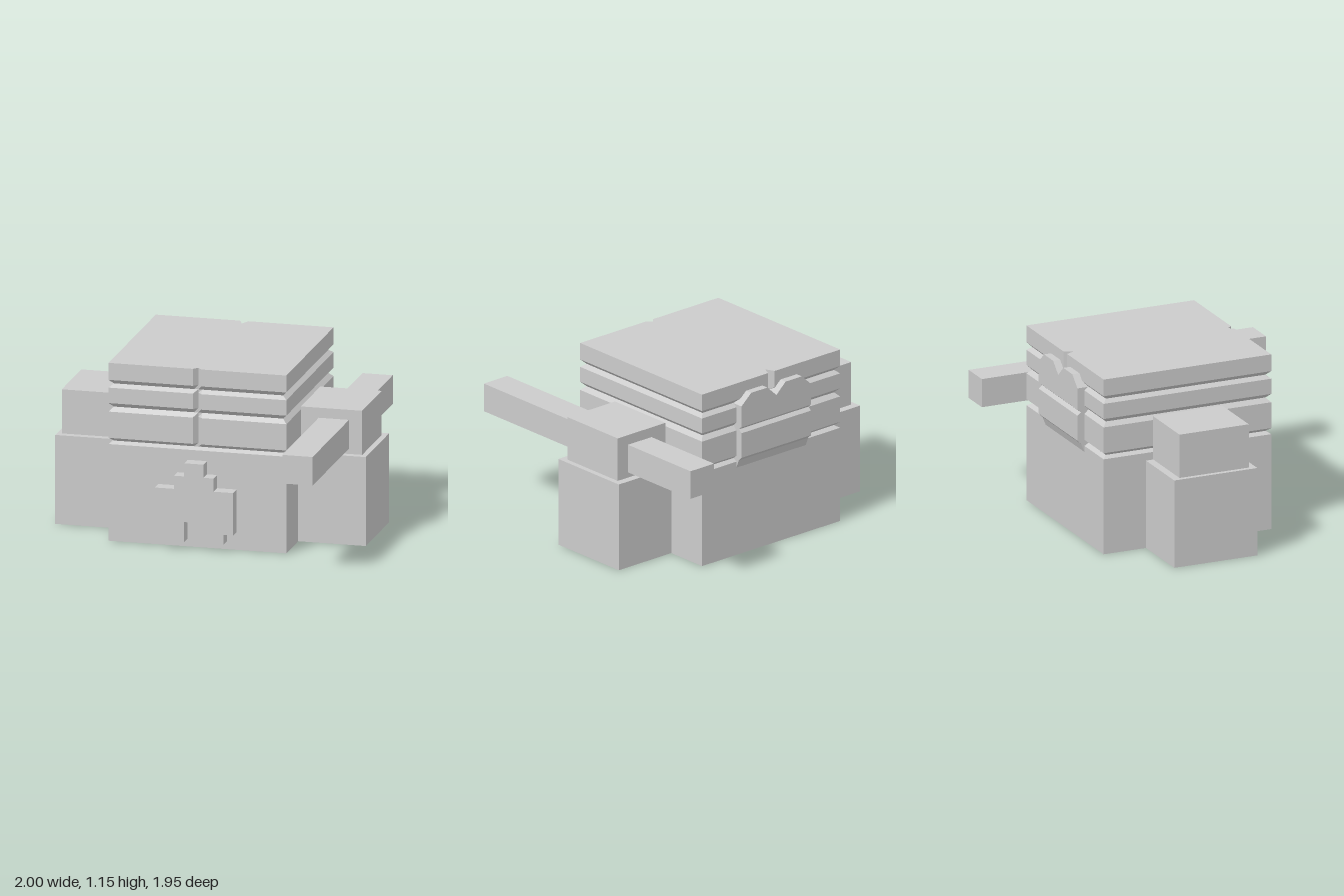
import * as THREE from 'three';
import { mergeGeometries } from 'three/addons/utils/BufferGeometryUtils.js';

const material = new THREE.MeshStandardMaterial({ color: 0xcccccc, flatShading: true });

// Body extents
const X0 = -0.58, X1 = 0.565, Z0 = -0.73, Z1 = 0.42, TOP = 1.15;

function add(parent, name, geometry) {
  const mesh = new THREE.Mesh(geometry, material);
  mesh.name = name;
  parent.add(mesh);
  return mesh;
}

// Box given by its minimum and maximum corners
function box(parent, name, [ax, ay, az], [bx, by, bz]) {
  add(parent, name, new THREE.BoxGeometry(bx - ax, by - ay, bz - az))
    .position.set((ax + bx) / 2, (ay + by) / 2, (az + bz) / 2);
}

const shapeOf = (points) => new THREE.Shape(points.map(([x, y]) => new THREE.Vector2(x, y)));
const extrude = (points, depth) =>
  new THREE.ExtrudeGeometry(shapeOf(points), { depth, bevelEnabled: false });

// Walls between stacked horizontal outlines: rings = [{ y, plan: [[x, z], ...] }]
function walls(rings) {
  const pos = [];
  for (let r = 0; r < rings.length - 1; r++) {
    const lo = rings[r], hi = rings[r + 1], n = lo.plan.length;
    for (let i = 0; i < n; i++) {
      const j = (i + 1) % n;
      const p = (ring, k) => [ring.plan[k][0], ring.y, ring.plan[k][1]];
      const a = p(lo, i), b = p(lo, j), c = p(hi, j), d = p(hi, i);
      pos.push(...a, ...b, ...c, ...a, ...c, ...d);
    }
  }
  const g = new THREE.BufferGeometry();
  g.setAttribute('position', new THREE.Float32BufferAttribute(pos, 3));
  g.computeVertexNormals();
  return g;
}

// Horizontal cap facing up or down, with an optional hole
function cap(plan, y, up, hole) {
  const s = up ? -1 : 1;
  const shape = shapeOf(plan.map(([x, z]) => [x, s * z]));
  if (hole) shape.holes.push(shapeOf(hole.map(([x, z]) => [x, s * z])));
  const g = new THREE.ShapeGeometry(shape).rotateX(s * Math.PI / 2).translate(0, y, 0).toNonIndexed();
  g.deleteAttribute('uv');
  return g;
}

// Body outline pulled in by d, with V slots in the middle of front and back
function bodyPlan(d, slotted) {
  const mid = -0.01, w = 0.027;
  const front = slotted ? Math.max(0.032 - d, 0) : 0;
  const back = slotted ? 0.06 - d : 0;
  const z1 = Z1 - d, z0 = Z0 + d;
  return [
    [X0 + d, z1], [mid - w, z1], [mid, z1 - front], [mid + w, z1], [X1 - d, z1],
    [X1 - d, z0], [mid + w, z0], [mid, z0 + back], [mid - w, z0], [X0 + d, z0],
  ];
}

function bodyGeometry() {
  const section = (y, d, slotted) => ({ y, plan: bodyPlan(d, slotted) });
  const rings = [section(0, 0, false), section(0.625, 0, false), section(0.642, 0.028, false)];
  rings.push(section(0.642, 0.028, true), section(0.665, 0, true));
  // Two upper V grooves: bottom edge, deepest line, top edge
  for (const [a, b, c] of [[0.835, 0.862, 0.89], [0.99, 1.012, 1.04]]) {
    rings.push(section(a, 0, true), section(b, 0.028, true), section(c, 0, true));
  }
  rings.push(section(TOP, 0, true));

  // Recess in the underside
  const recess = [
    [0.25, -0.43], [0.31, -0.3], [0.18, 0.12], [-0.16, 0.175],
    [-0.286, 0.047], [-0.33, -0.334], [-0.27, -0.416], [0.13, -0.443],
  ];
  const depth = 0.3;
  return mergeGeometries([
    walls(rings),
    cap(rings.at(-1).plan, TOP, true),
    cap([[X0, Z1], [X1, Z1], [X1, Z0], [X0, Z0]], 0, false, recess),
    walls([{ y: 0, plan: recess }, { y: depth, plan: recess }]),
    cap(recess, depth, false),
  ].map((g) => { g.deleteAttribute('uv'); return g; }));
}

export function createModel() {
  const model = new THREE.Group();
  model.name = 'model';

  add(model, 'groovedBody', bodyGeometry());

  // Stepped side blocks
  box(model, 'rightLowerBlock', [-1, 0, -0.44], [X0, 0.575, 0.13]);
  box(model, 'leftLowerBlock', [X1, 0, -0.44], [1, 0.575, 0.13]);
  box(model, 'rightUpperBlock', [-0.97, 0.57, -0.39], [-0.575, 0.86, 0.085]);
  box(model, 'leftUpperBlock', [0.57, 0.57, -0.39], [0.965, 0.86, 0.085]);

  // Long bar through the left upper block
  box(model, 'crossBar', [0.685, 0.61, -0.98], [0.88, 0.795, 0.97]);

  // Stepped relief on the front: half outline mirrored about its centre
  const half = [
    [0.0625, 0.18], [0.0625, 0.05], [0.19, 0.05], [0.19, 0.115], [0.253, 0.115],
    [0.253, 0.39], [0.1275, 0.39], [0.1275, 0.475], [0.0625, 0.475], [0.0625, 0.56],
  ];
  const outline = [...half, ...half.map(([x, y]) => [-x, y]).reverse()];
  add(model, 'frontRelief', extrude(outline, 0.085)).position.set(-0.0075, 0, Z1);

  // Back panel: notched upper plate over a grooved lower plate
  const panel = new THREE.Group();
  panel.name = 'backPanel';
  model.add(panel);
  const upper = [
    [-0.295, 0.87], [0.28, 0.87], [0.28, 1.01], [0.2, 1.08], [0.065, 1.08],
    [-0.01, 1.01], [-0.085, 1.08], [-0.22, 1.08], [-0.295, 1.01],
  ];
  add(panel, 'upperPlate', extrude(upper, 0.08)).position.z = -0.778;
  const profile = [
    [0.7, 0.585], [0.73, 0.585], [0.752, 0.64], [0.778, 0.665],
    [0.778, 0.83], [0.755, 0.85], [0.778, 0.872], [0.7, 0.872],
  ];
  add(panel, 'lowerPlate', extrude(profile, 0.575).rotateY(Math.PI / 2)).position.x = -0.295;

  return model;
}
